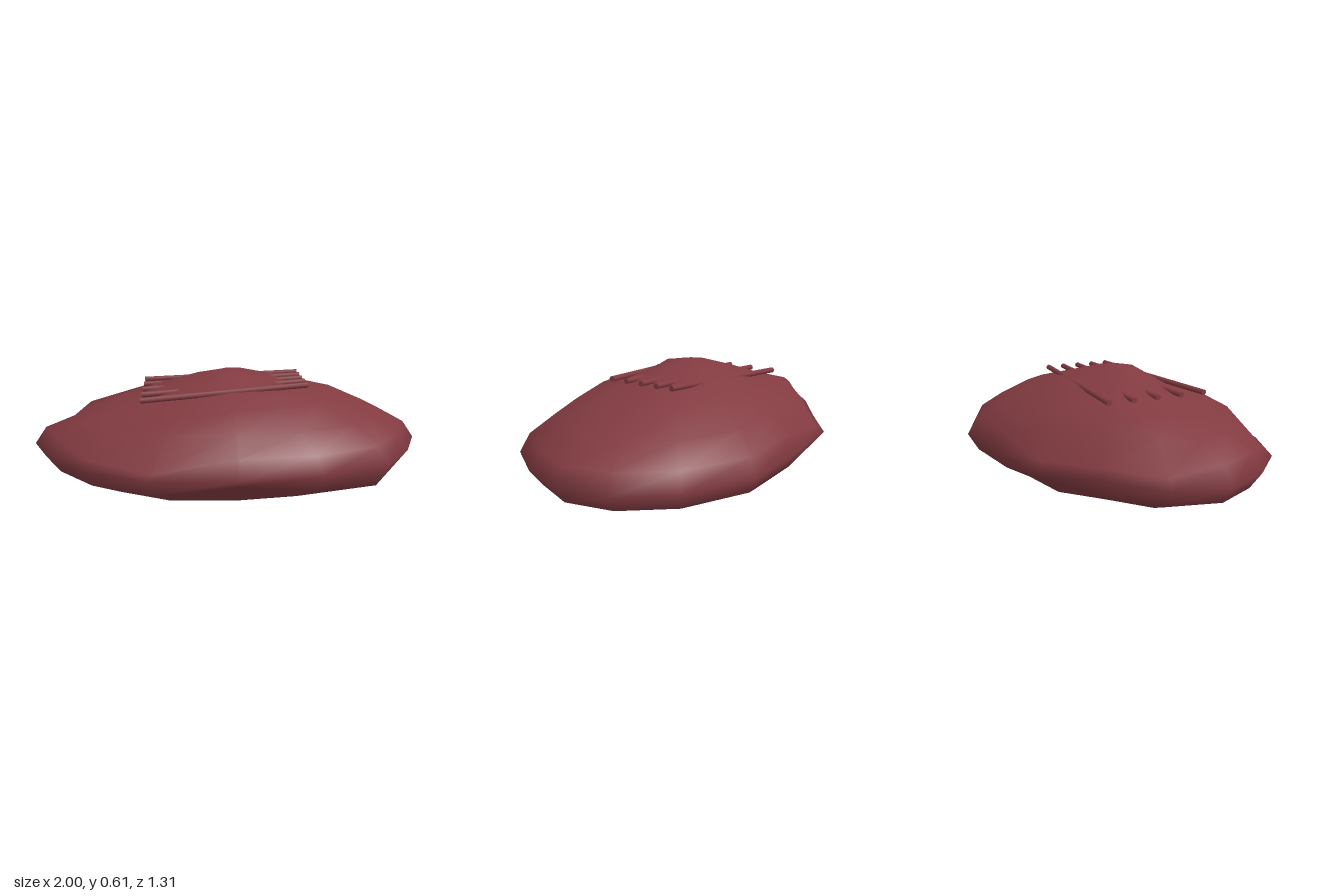
import * as THREE from 'three';

// Plan outline at the widest level, [x, z], clockwise from the -x tip
const OUTLINE = [
  [-1, -0.02], [-0.92, -0.27], [-0.65, -0.44], [-0.38, -0.625],
  [0, -0.655], [0.42, -0.66], [0.76, -0.5], [0.95, -0.27],
  [1, -0.02], [0.9, 0.22], [0.74, 0.45], [0.4, 0.595],
  [0.01, 0.65], [-0.4, 0.62], [-0.71, 0.45], [-0.9, 0.22],
];

// Level profile from top to bottom: [outline scale, height, dip toward -x, dip toward +z]
const LEVELS = [
  [0.16, 0.58, 0, 0], [0.33, 0.545, 0.028, 0.023], [0.59, 0.478, 0.035, 0],
  [0.79, 0.388, 0.01, 0], [0.94, 0.305, 0, 0], [1, 0.218, 0, 0],
  [0.93, 0.135, 0, 0], [0.75, 0.07, 0, 0], [0.42, 0.022, -0.017, 0],
  [0.2, 0.016, 0, -0.008],
];

// Uneven spots: height offsets keyed by "level,segment"
const BUMPS = {
  '0,4': 0.01, '0,5': 0.01, '0,12': 0.008,
  '1,0': -0.003, '1,1': 0.013, '1,2': 0.014, '1,3': 0.01,
  '1,7': -0.018, '1,8': -0.018, '1,15': 0.012,
  '2,2': 0.035,
  '3,0': -0.012, '3,1': 0.015, '3,2': 0.05, '3,14': -0.03,
  '4,1': -0.045, '4,2': -0.045, '4,3': -0.05, '4,13': -0.07, '4,14': -0.045,
  '6,3': 0.04, '6,10': -0.03, '6,12': 0.045,
};

function slabGeometry() {
  const n = OUTLINE.length;
  const pos = [0, 0.607, -0.01];
  LEVELS.forEach(([scale, height, dipX, dipZ], level) => {
    OUTLINE.forEach(([x, z], j) => {
      const r = Math.hypot(x, z);
      const dip = (dipX * Math.max(0, -x) + dipZ * Math.max(0, z)) / r;
      pos.push(x * scale, height - dip + (BUMPS[`${level},${j}`] || 0), z * scale);
    });
  });
  const bottom = pos.length / 3;
  pos.push(0, 0, -0.01);

  const index = [];
  const at = (level, j) => 1 + level * n + (j % n);
  const last = LEVELS.length - 1;
  for (let j = 0; j < n; j++) {
    index.push(0, at(0, j + 1), at(0, j));
    for (let l = 0; l < last; l++) {
      const a = at(l, j), b = at(l, j + 1), c = at(l + 1, j), d = at(l + 1, j + 1);
      index.push(a, d, c, a, b, d);
    }
    index.push(bottom, at(last, j), at(last, j + 1));
  }
  const geometry = new THREE.BufferGeometry();
  geometry.setAttribute('position', new THREE.Float32BufferAttribute(pos, 3));
  geometry.setIndex(index);
  geometry.computeVertexNormals();
  return geometry;
}

// Straight round bar between two points
function bar(from, to, radius, material) {
  const dir = to.clone().sub(from);
  const mesh = new THREE.Mesh(new THREE.CylinderGeometry(radius, radius, dir.length(), 8), material);
  mesh.position.copy(from).add(to).multiplyScalar(0.5);
  mesh.quaternion.setFromUnitVectors(new THREE.Vector3(0, 1, 0), dir.normalize());
  return mesh;
}

export function createModel() {
  const model = new THREE.Group();
  model.name = 'meatSlab';
  const meat = new THREE.MeshStandardMaterial({ color: 0x823b41 });
  meat.name = 'meat red';

  const slab = new THREE.Mesh(slabGeometry(), meat);
  slab.name = 'slab';
  model.add(slab);

  // Five fanned grill ridges, partly sunk into the top
  const ridges = new THREE.Group();
  ridges.name = 'grillRidges';
  for (let i = -2; i <= 2; i++) {
    const from = new THREE.Vector3(-0.435, 0.498, -0.017 + i * 0.132);
    const to = new THREE.Vector3(0.39, 0.547, -0.017 + i * 0.088);
    const ridge = bar(from, to, 0.014, meat);
    ridge.name = 'grillRidge';
    ridges.add(ridge);
  }
  model.add(ridges);
  return model;
}
